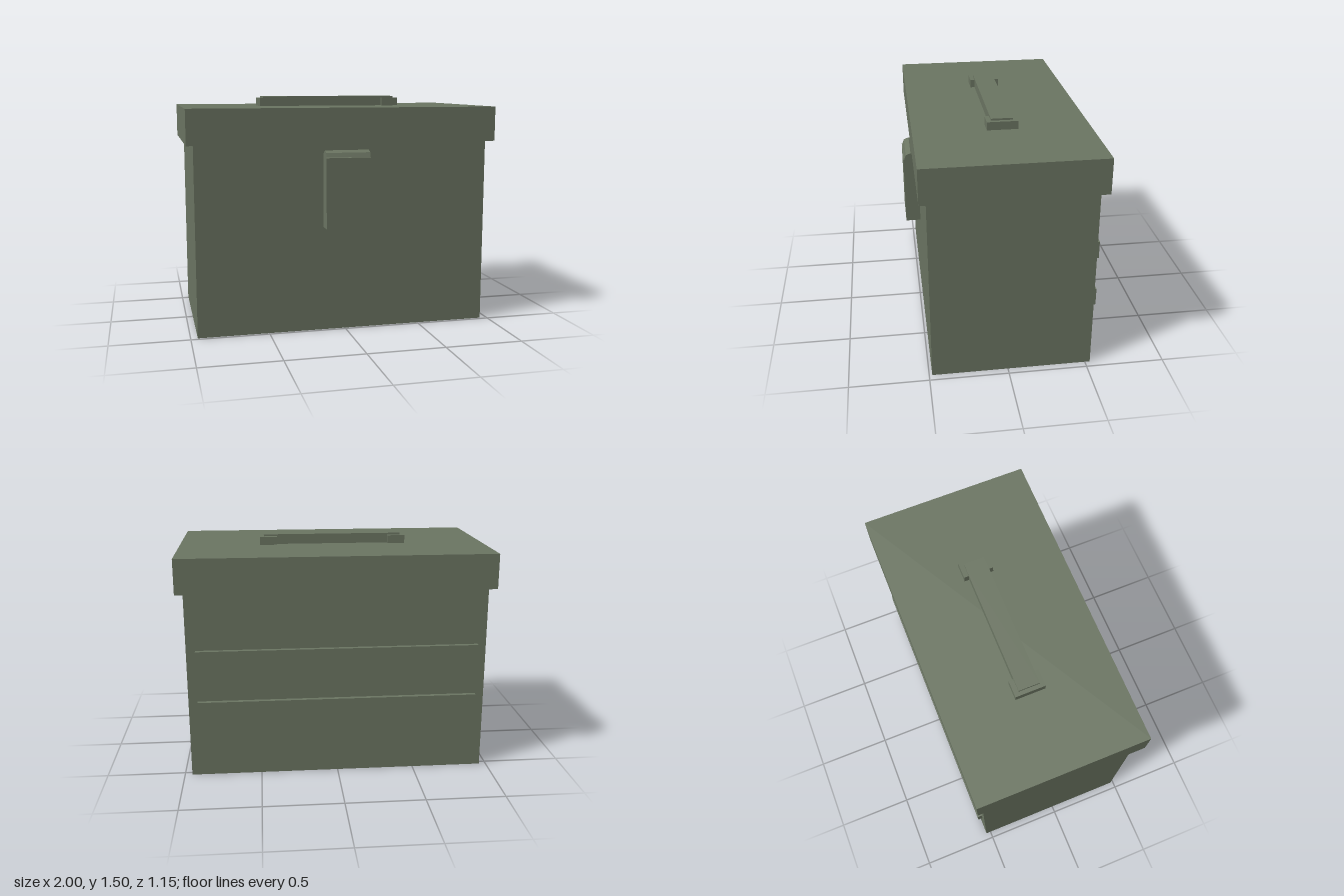
import * as THREE from 'three';

export function createModel() {
  const model = new THREE.Group();
  model.name = 'ammoBox';

  const olive = new THREE.MeshStandardMaterial({ color: 0x6b7562 });
  olive.name = 'olive drab';

  const add = (name, geometry) => {
    const mesh = new THREE.Mesh(geometry, olive);
    mesh.name = name;
    model.add(mesh);
    return mesh;
  };

  // Box given by its lower and upper limits on each axis
  const block = (name, [x0, x1], [y0, y1], [z0, z1]) =>
    add(name, new THREE.BoxGeometry(x1 - x0, y1 - y0, z1 - z0))
      .position.set((x0 + x1) / 2, (y0 + y1) / 2, (z0 + z1) / 2);

  // Body and overhanging lid
  block('body', [-0.956, 0.953], [0, 1.215], [-0.532, 0.481]);
  block('lid', [-1, 1], [1.213, 1.436], [-0.576, 0.524]);

  // Carrying strap held by a bracket at each end
  block('handleStrap', [-0.455, 0.45], [1.436, 1.5], [-0.094, 0.042]);
  for (const [name, x] of [['rightHandleBracket', -0.425], ['leftHandleBracket', 0.42]]) {
    block(name, [x - 0.056, x + 0.056], [1.436, 1.488], [-0.125, 0.07]);
  }

  // Two stiffening ribs across the back
  for (const [name, y] of [['lowerBackRib', 0.453], ['upperBackRib', 0.79]]) {
    block(name, [-0.9, 0.895], [y - 0.056, y + 0.056], [-0.561, -0.53]);
  }

  // Front latch: rounded-top side profile in (z, y), extruded across x
  const profile = new THREE.Shape([
    [0.478, 0.679], [0.576, 0.679], [0.576, 1.127], [0.57, 1.13], [0.56, 1.158],
    [0.528, 1.172], [0.497, 1.158], [0.483, 1.127], [0.478, 1.127],
  ].map(([z, y]) => new THREE.Vector2(-z, y)).reverse());
  const latch = new THREE.ExtrudeGeometry(profile, { depth: 0.285, bevelEnabled: false });
  latch.rotateY(Math.PI / 2); // local x = -z, so it lands on +z
  latch.translate(-0.145, 0, 0);
  add('latch', latch);

  return model;
}
